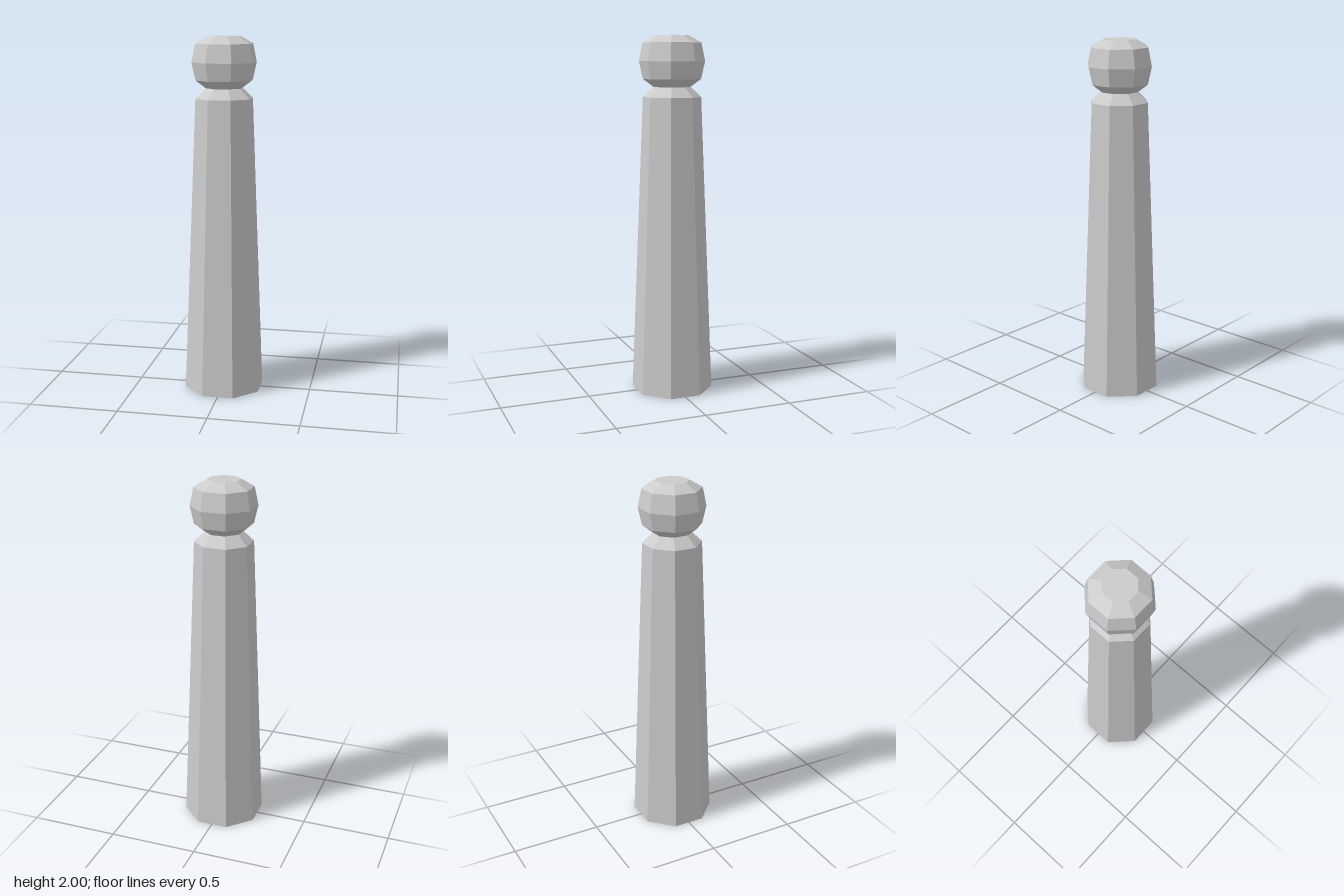
import * as THREE from 'three';

const SIDES = 8;
const material = new THREE.MeshStandardMaterial({ color: 0xcccccc, flatShading: true });

// Turns a profile of [half width across flats, height] into an octagonal solid with flats facing the axes.
function octagonalPart(name, profile) {
  const toCorner = 1 / Math.cos(Math.PI / SIDES);
  const points = profile.map(([r, y]) => new THREE.Vector2(r * toCorner, y));
  const geometry = new THREE.LatheGeometry(points, SIDES, Math.PI / SIDES);
  const mesh = new THREE.Mesh(geometry, material);
  mesh.name = name;
  return mesh;
}

export function createModel() {
  const post = new THREE.Group();
  post.name = 'post';

  // Tapered shaft with a closed base and a chamfer up to the neck
  post.add(octagonalPart('shaft', [[0, 0], [0.211, 0], [0.149, 1.665], [0.095, 1.72]]));

  // Faceted ball on the neck, with a flat top
  post.add(octagonalPart('knob', [
    [0.095, 1.72], [0.148, 1.763], [0.168, 1.86], [0.149, 1.96], [0.085, 2], [0, 2],
  ]));

  return post;
}
